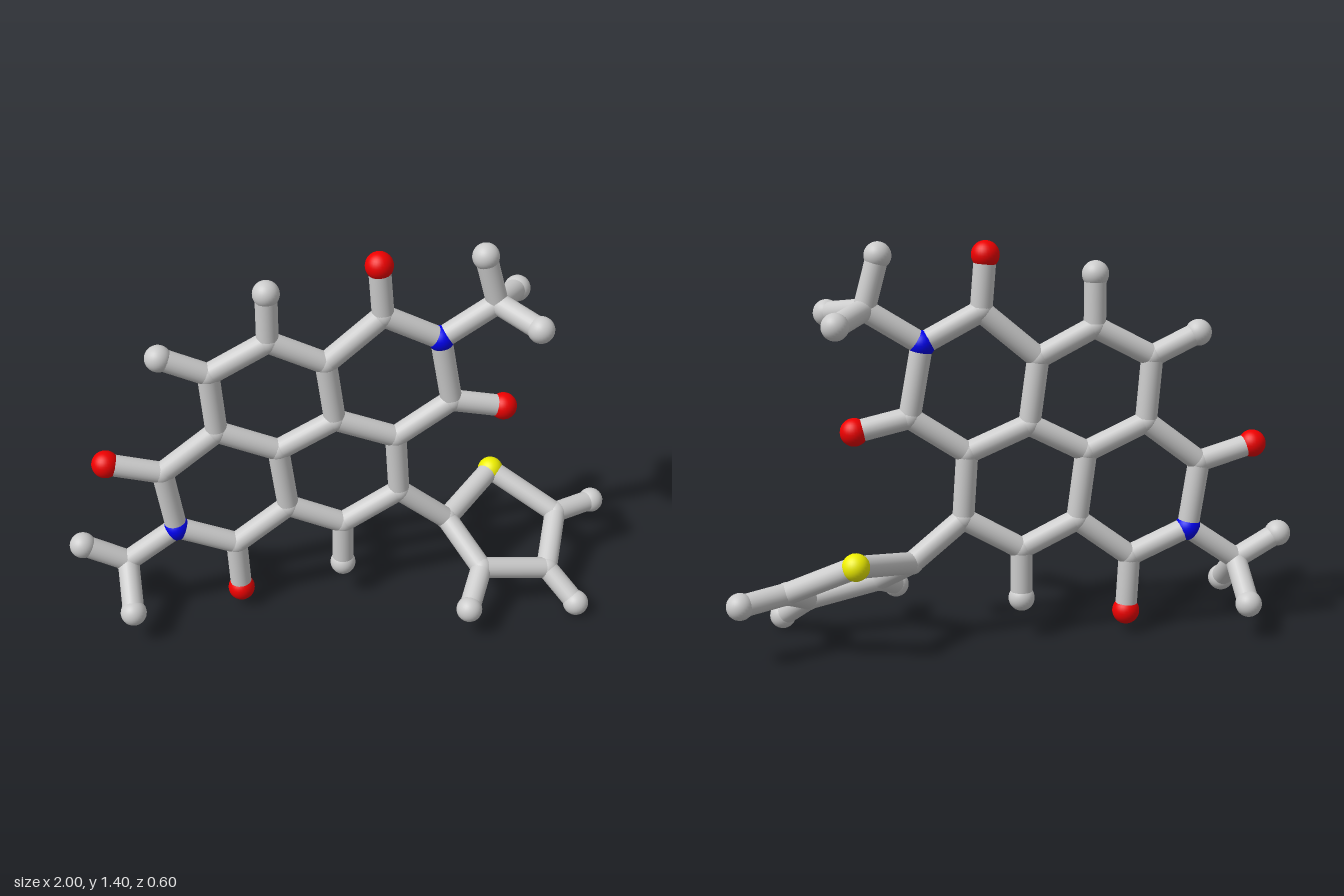
import * as THREE from 'three';

const STICK = 0.038;
const COLORS = { C: 0xcccccc, H: 0xcccccc, N: 0x0000ee, O: 0xee0000, S: 0xeeee00 };
const RADII = { C: 0.0405, H: 0.046, N: 0.046, O: 0.048, S: 0.047 };
const NAMES = { C: 'carbon', H: 'hydrogen', N: 'nitrogen', O: 'oxygen', S: 'sulfur' };

// Atoms as [x, y, z]; the fused rings lie in one slightly turned plane, so z may be left out
const ATOMS = {
  // fused core
  C1: [-0.05, 0.77], C2: [-0.08, 1.0], C3: [-0.275, 1.1], C4: [-0.478, 0.993],
  C5: [-0.46, 0.763], C6: [-0.25, 0.667], C7: [-0.22, 0.425], C8: [-0.024, 0.33],
  C9: [0.18, 0.448], C10: [0.165, 0.68],
  H3: [-0.275, 1.28], H4: [-0.64, 1.07], H8: [-0.024, 0.15],
  // upper imide ring
  C11: [0.115, 1.165], N1: [0.315, 1.06], C12: [0.36, 0.81], O11: [0.1, 1.353], O12: [0.547, 0.768],
  // lower imide ring
  C13: [-0.655, 0.614], N2: [-0.62, 0.375], C14: [-0.41, 0.283], O13: [-0.846, 0.67], O14: [-0.4, 0.08],
  // methyl groups
  C15: [0.505, 1.18], H15: [0.457, 1.358], H16: [0.615, 1.15, 0.1], H17: [0.615, 1.15, -0.2],
  C16: [-0.8, 0.25], H18: [-0.953, 0.336], H19: [-0.8, 0.13, 0.067], H20: [-0.8, 0.13, -0.233],
  // tilted five-sided ring
  C17: [0.36, 0.3, -0.06], S1: [0.572, 0.36, -0.255], C18: [0.79, 0.235, -0.11],
  C19: [0.705, 0.142, 0.095], C20: [0.453, 0.19, 0.112],
  H21: [0.95, 0.224, -0.178], H22: [0.79, 0.05, 0.2], H23: [0.376, 0.122, 0.252],
};

// Each chain joins its atoms one after the other
const CHAINS = {
  core: 'C1 C2 C3 C4 C5 C6 C1 C10 C9 C8 C7 C6',
  upperImide: 'C2 C11 N1 C12 C10',
  lowerImide: 'C5 C13 N2 C14 C7',
  sideRing: 'C9 C17 S1 C18 C19 C20 C17',
  upperMethyl: 'N1 C15 H15',
  upperMethylPair: 'H16 C15 H17',
  lowerMethyl: 'N2 C16 H18',
  lowerMethylPair: 'H19 C16 H20',
  ...Object.fromEntries(['C3 H3', 'C4 H4', 'C8 H8', 'C11 O11', 'C12 O12', 'C13 O13', 'C14 O14',
    'C18 H21', 'C19 H22', 'C20 H23'].map((chain, i) => ['endBond' + (i + 1), chain])),
};

export function createModel() {
  const model = new THREE.Group();
  const materials = {};
  for (const k in COLORS) materials[k] = new THREE.MeshStandardMaterial({ color: COLORS[k] });

  // Balls
  const points = {};
  const balls = new THREE.Group();
  balls.name = 'atoms';
  model.add(balls);
  const sphere = new THREE.SphereGeometry(1, 28, 18);
  for (const [id, [x, y, z = -0.065 + 0.022 * x]] of Object.entries(ATOMS)) {
    const element = id[0];
    points[id] = new THREE.Vector3(x, y, z);
    const ball = new THREE.Mesh(sphere, materials[element]);
    ball.name = NAMES[element] + id.slice(1);
    ball.position.copy(points[id]);
    ball.scale.setScalar(RADII[element]);
    balls.add(ball);
  }

  // Sticks
  const cylinder = new THREE.CylinderGeometry(STICK, STICK, 1, 24);
  const up = new THREE.Vector3(0, 1, 0);
  for (const [name, chain] of Object.entries(CHAINS)) {
    const group = new THREE.Group();
    group.name = name;
    model.add(group);
    const ids = chain.split(' ');
    for (let i = 1; i < ids.length; i++) {
      const a = points[ids[i - 1]], b = points[ids[i]];
      const along = b.clone().sub(a);
      const stick = new THREE.Mesh(cylinder, materials.C);
      stick.name = 'bond' + i;
      stick.position.copy(a).lerp(b, 0.5);
      stick.scale.y = along.length();
      stick.quaternion.setFromUnitVectors(up, along.normalize());
      group.add(stick);
    }
  }
  return model;
}
